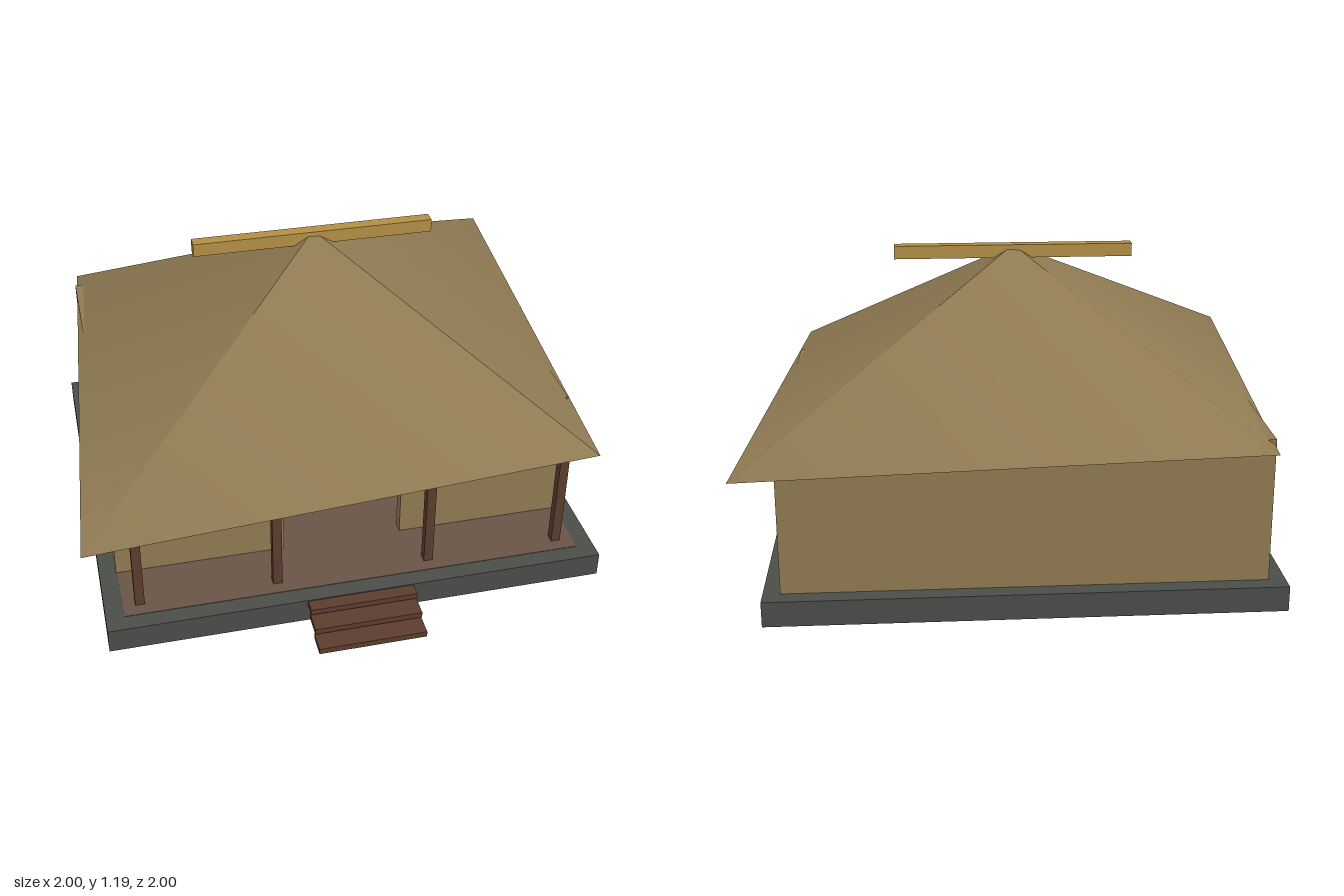
import * as THREE from 'three';

const mat = (name, color) => {
  const m = new THREE.MeshStandardMaterial({ color });
  m.name = name;
  return m;
};

export function createModel() {
  const group = new THREE.Group();
  const stone = mat('stone grey', 0x4b4d49);
  const straw = mat('thatch tan', 0x8f7a52);
  const wood = mat('dark wood', 0x5c3d2e);
  const boards = mat('floor brown', 0x6a5347);
  const bamboo = mat('golden bamboo', 0xb38f45);

  const add = (name, geometry, material, x, y, z) => {
    const mesh = new THREE.Mesh(geometry, material);
    mesh.name = name;
    mesh.position.set(x, y, z);
    group.add(mesh);
    return mesh;
  };
  // Box given by its minimum and maximum corners
  const box = (name, material, [x0, y0, z0], [x1, y1, z1]) =>
    add(name, new THREE.BoxGeometry(x1 - x0, y1 - y0, z1 - z0), material,
      (x0 + x1) / 2, (y0 + y1) / 2, (z0 + z1) / 2);

  // Stone platform and floor
  const floorY = 0.095;
  box('platform', stone, [-0.9375, 0, -0.815], [0.9375, floorY, 0.815]);
  box('floor', boards, [-0.87, floorY - 0.01, -0.74], [0.87, floorY + 0.002, 0.75]);

  // Walls with a doorway in the front
  const top = 0.632, t = 0.045, w = 0.875, back = -0.75, front = 0.51, door = 0.23;
  box('backWall', straw, [-w, floorY, back], [w, top, back + t]);
  for (const [side, s] of [['left', 1], ['right', -1]]) {
    const span = (a, b) => [Math.min(s * a, s * b), Math.max(s * a, s * b)];
    const [a, b] = span(w - t, w);
    box(side + 'Wall', straw, [a, floorY, back + t], [b, top, front - t]);
    const [c, d] = span(door, w);
    box(side + 'FrontWall', straw, [c, floorY, front - t], [d, top, front]);
  }
  box('doorLintel', bamboo, [-door, 0.55, front - t], [door, top, front]);

  // Porch posts
  for (const x of [-0.807, -0.293, 0.29, 0.803])
    box('porchPost', wood, [x - 0.0175, floorY, 0.667], [x + 0.0175, 0.617, 0.702]);

  // Entrance steps
  for (let i = 0; i < 3; i++) {
    const z = 0.915 - i * 0.068, y = 0.004 + i * 0.032;
    box('step', wood, [-0.203, y, z], [0.2, y + 0.023, z + 0.085]);
  }

  // Hearth ring inside
  const ring = new THREE.TorusGeometry(0.085, 0.027, 6, 12);
  ring.rotateX(Math.PI / 2);
  add('hearthRing', ring, stone, 0, 0.111, 0);

  // Four-sided thatch roof, with one diagonal longer than the other
  const h = 0.567;
  const roof = new THREE.ConeGeometry(Math.SQRT2, h, 4, 1);
  roof.rotateY(Math.PI / 4);
  const p = roof.attributes.position;
  for (let i = 0; i < p.count; i++) {
    const k = p.getX(i) * p.getZ(i) > 0 ? 0.86 : 1;
    p.setX(i, p.getX(i) * k);
    p.setZ(i, p.getZ(i) * k);
  }
  roof.computeVertexNormals();
  add('thatchRoof', roof, straw, 0, 0.615 + h / 2, 0);

  // Ridge pole across the peak
  box('ridgePole', bamboo, [-0.457, 1.136, -0.025], [0.457, 1.186, 0.023]);

  return group;
}
